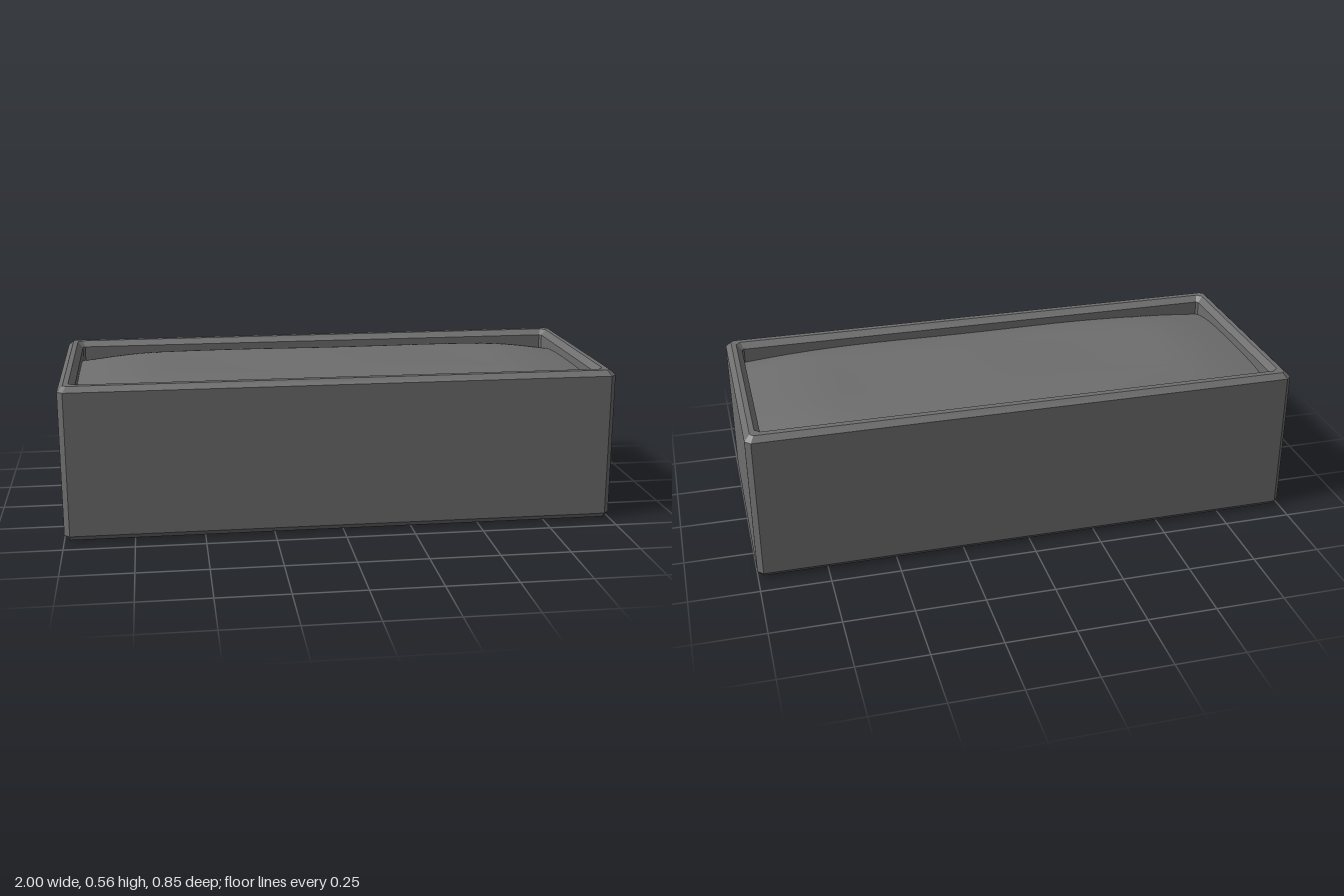
import * as THREE from 'three';

// Rectangle of half sizes hx, hz at height y with corners cut by c
function ring(y, hx, hz, c) {
  return [
    [hx, hz - c], [hx - c, hz], [-hx + c, hz], [-hx, hz - c],
    [-hx, -hz + c], [-hx + c, -hz], [hx - c, -hz], [hx, -hz + c],
  ].map(([x, z]) => [x, y, z]);
}

// Skins successive rings, capping the first and last
function loft(rings) {
  const pos = [];
  const tri = (a, b, c) => pos.push(...a, ...b, ...c);
  for (let i = 0; i < rings.length - 1; i++) {
    const a = rings[i], b = rings[i + 1];
    for (let j = 0; j < 8; j++) {
      const k = (j + 1) % 8;
      tri(a[j], b[j], b[k]);
      tri(a[j], b[k], a[k]);
    }
  }
  const first = rings[0], last = rings[rings.length - 1];
  for (let j = 1; j < 7; j++) {
    tri(first[0], first[j], first[j + 1]);
    tri(last[0], last[j + 1], last[j]);
  }
  const geo = new THREE.BufferGeometry();
  geo.setAttribute('position', new THREE.Float32BufferAttribute(pos, 3));
  geo.computeVertexNormals();
  return geo;
}

// 0 at the wall, easing to 1 at the given distance from it
function ramp(distance, width) {
  return Math.sin(THREE.MathUtils.clamp(distance / width, 0, 1) * Math.PI / 2);
}

export function createModel() {
  const group = new THREE.Group();

  // Trough: bevelled outside, flat rim, bevelled lip, recess for the soil
  const trough = new THREE.Mesh(
    loft([
      ring(0, 0.98, 0.403, 0),
      ring(0.02, 1, 0.423, 0.02),
      ring(0.543, 1, 0.423, 0.02),
      ring(0.562, 0.98, 0.403, 0.012),
      ring(0.562, 0.962, 0.38, 0.018),
      ring(0.542, 0.942, 0.356, 0.008),
      ring(0.46, 0.942, 0.356, 0.008),
    ]),
    new THREE.MeshStandardMaterial({ color: 0x6e6e6e, flatShading: true })
  );
  trough.name = 'planterBox';
  group.add(trough);

  // Soil: a mound with a broad top, lower at the walls and lowest in the corners
  const hx = 0.942, hz = 0.356;
  const geo = new THREE.PlaneGeometry(2 * hx, 2 * hz, 60, 30).rotateX(-Math.PI / 2);
  const p = geo.attributes.position;
  for (let i = 0; i < p.count; i++) {
    const x = p.getX(i), z = p.getZ(i);
    const rise = ramp(hx - Math.abs(x), 0.3) * ramp(hz - Math.abs(z), 0.16);
    const corner = (x / hx) ** 4 * (z / hz) ** 4;
    const ripple = 0.0015 * Math.sin(7 * x + 1) * Math.cos(9 * z);
    p.setY(i, 0.512 - 0.025 * corner + 0.03 * rise + ripple);
  }
  geo.computeVertexNormals();
  const soil = new THREE.Mesh(
    geo,
    new THREE.MeshStandardMaterial({ color: 0x6e6e6e, side: THREE.DoubleSide })
  );
  soil.name = 'soil';
  group.add(soil);

  return group;
}
